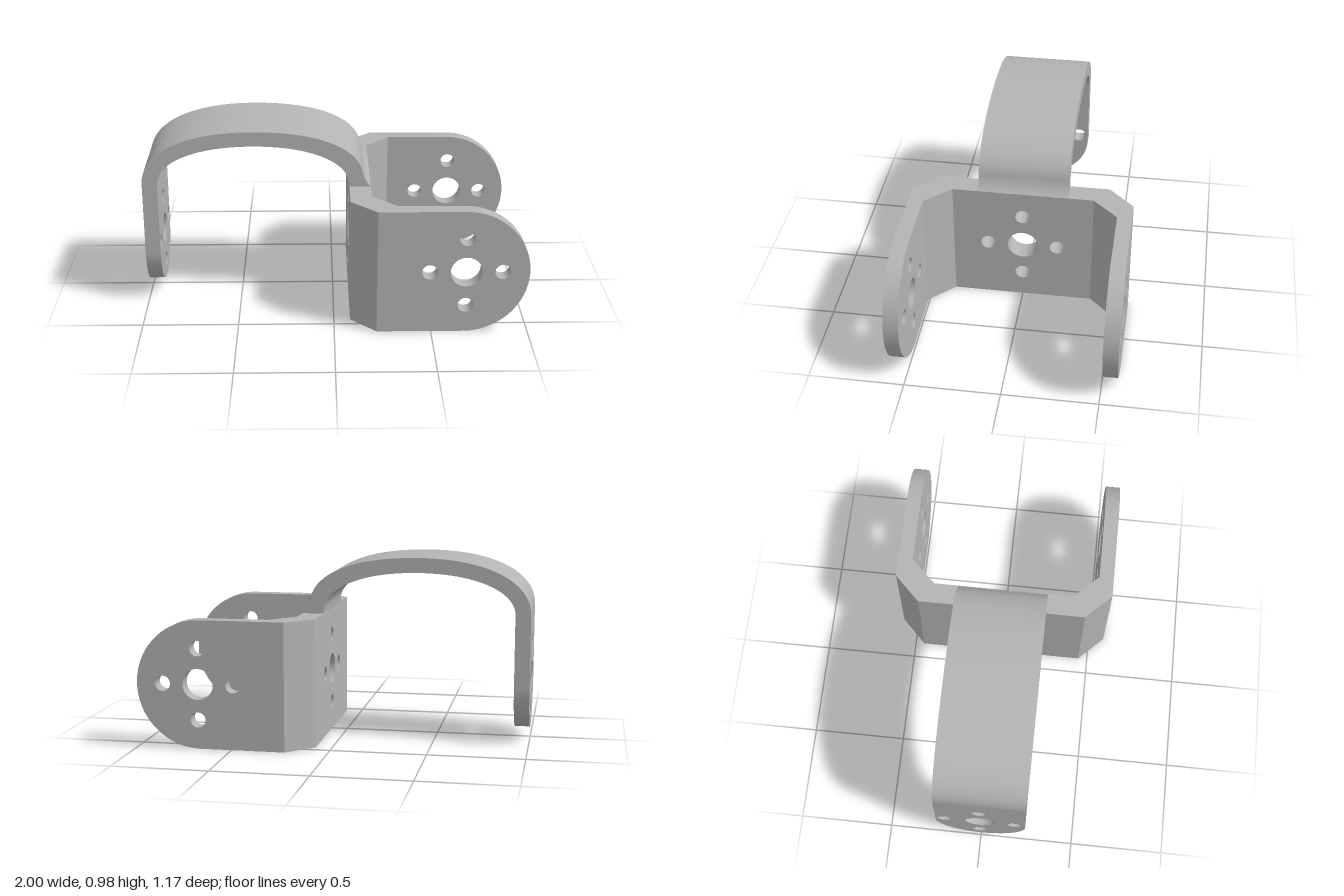
import * as THREE from 'three';
import { toCreasedNormals } from 'three/addons/utils/BufferGeometryUtils.js';

const H = 0.672;          // bracket height
const HOLE_Y = 0.338;     // height of every hole pattern
const ARM_W = 0.48;       // width of the curved arm

// Large centre hole with four small ones around it
function addHoles(shape, u, v) {
  const spots = [[0, 0, 0.081], [0.187, 0, 0.04], [-0.187, 0, 0.04], [0, 0.187, 0.04], [0, -0.187, 0.04]];
  for (const [du, dv, r] of spots) {
    const hole = new THREE.Path();
    hole.absarc(u + du, v + dv, r, 0, Math.PI * 2, true);
    shape.holes.push(hole);
  }
  return shape;
}

function extrude(shape, depth) {
  const geo = new THREE.ExtrudeGeometry(shape, { depth, bevelEnabled: false, curveSegments: 32 });
  return toCreasedNormals(geo, 0.5);
}

export function createModel() {
  const model = new THREE.Group();
  model.name = 'mountingBracket';
  const steel = new THREE.MeshStandardMaterial({ color: 0xb4b4b4 });
  steel.name = 'grey metal';

  function add(name, geo) {
    const mesh = new THREE.Mesh(geo, steel);
    mesh.name = name;
    model.add(mesh);
  }

  // Back plate of the U bracket
  const back = new THREE.Shape();
  back.moveTo(-0.375, 0);
  back.lineTo(0.375, 0);
  back.lineTo(0.375, H);
  back.lineTo(-0.375, H);
  back.closePath();
  addHoles(back, 0, HOLE_Y);
  add('backPlate', extrude(back, 0.112).rotateY(Math.PI / 2).translate(0.085, 0, 0));

  for (const s of [1, -1]) {
    const side = s > 0 ? 'front' : 'rear';

    // Angled corner between back plate and side plate
    const corner = new THREE.Shape([
      [0.085, 0.375], [0.197, 0.375], [0.325, 0.508], [0.325, 0.586], [0.22, 0.586], [0.085, 0.45],
    ].map(([x, z]) => new THREE.Vector2(x, -s * z)));
    add(side + 'Corner', extrude(corner, H).rotateX(-Math.PI / 2));

    // Side plate with a round end
    const plate = new THREE.Shape();
    plate.moveTo(0.325, 0);
    plate.lineTo(1 - H / 2, 0);
    plate.absarc(1 - H / 2, H / 2, H / 2, -Math.PI / 2, Math.PI / 2, false);
    plate.lineTo(0.325, H);
    plate.closePath();
    addHoles(plate, 0.675, HOLE_Y);
    add(side + 'SidePlate', extrude(plate, 0.078).translate(0, 0, s > 0 ? 0.508 : -0.586));
  }

  // Arched arm, flaring where it meets the back plate
  const arch = new THREE.Shape();
  arch.moveTo(-1, 0.69);
  arch.bezierCurveTo(-1, 0.85, -0.8, 0.975, -0.42, 0.975);
  arch.bezierCurveTo(-0.04, 0.975, 0.13, 0.87, 0.153, 0.755);
  arch.quadraticCurveTo(0.166, 0.7, 0.197, H);
  arch.lineTo(0.085, H);
  arch.lineTo(0.082, 0.69);
  arch.bezierCurveTo(0.08, 0.8, -0.1, 0.897, -0.42, 0.897);
  arch.bezierCurveTo(-0.74, 0.897, -0.92, 0.8, -0.92, 0.69);
  arch.closePath();
  add('archedArm', extrude(arch, ARM_W).translate(0, 0, -ARM_W / 2));

  // Hanging end of the arm
  const r = ARM_W / 2;
  const hanger = new THREE.Shape();
  hanger.moveTo(r, 0.69);
  hanger.lineTo(-r, 0.69);
  hanger.lineTo(-r, 0.3);
  hanger.absarc(0, 0.3, r, Math.PI, Math.PI * 2, false);
  hanger.closePath();
  addHoles(hanger, 0, HOLE_Y);
  add('armEndPlate', extrude(hanger, 0.08).rotateY(Math.PI / 2).translate(-1, 0, 0));

  return model;
}
